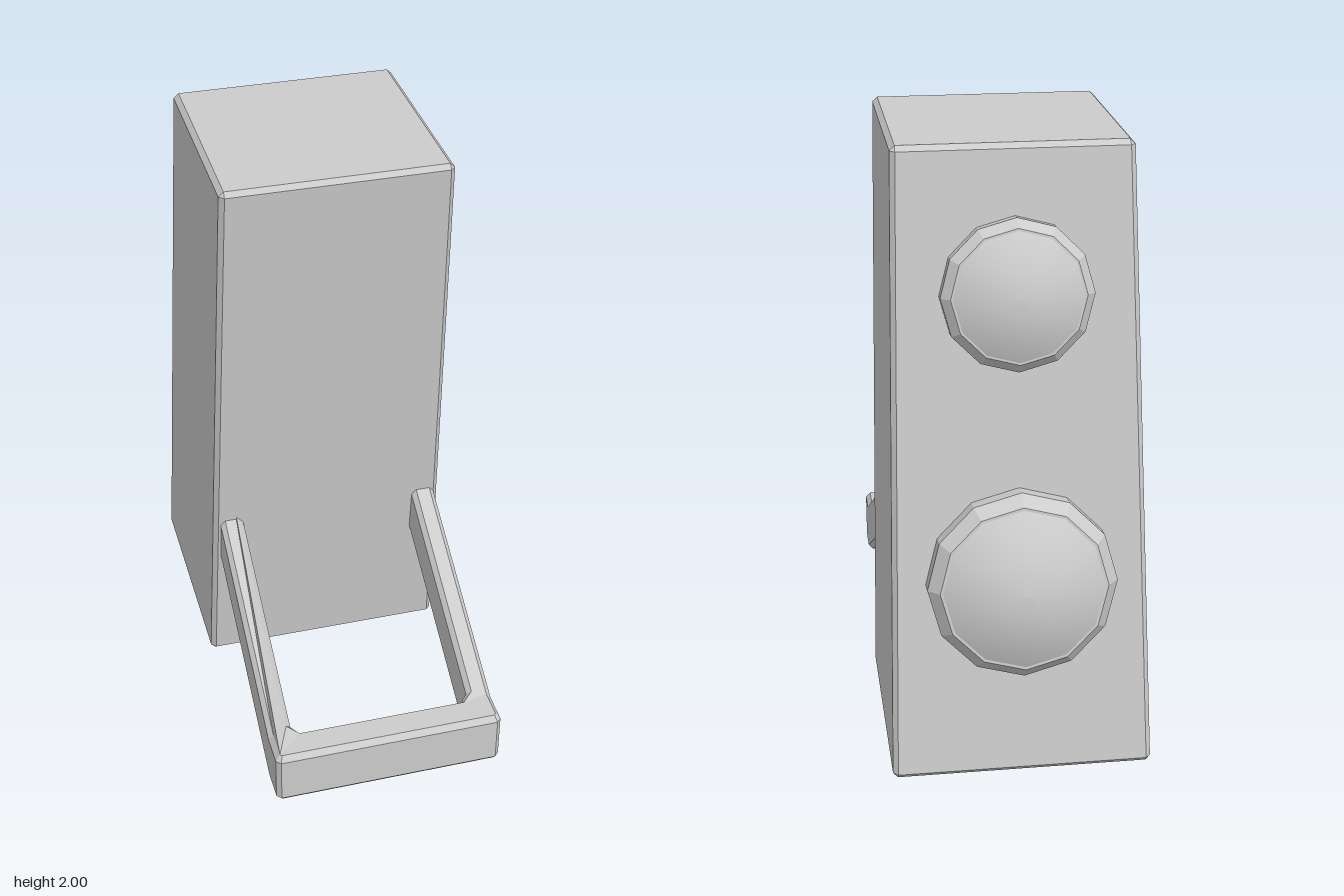
import * as THREE from 'three';
import { ConvexGeometry } from 'three/addons/geometries/ConvexGeometry.js';

const smooth = new THREE.MeshStandardMaterial({ color: 0xcccccc });
const faceted = new THREE.MeshStandardMaterial({ color: 0xcccccc, flatShading: true });

function addMesh(parent, name, geometry, material = faceted) {
  const mesh = new THREE.Mesh(geometry, material);
  mesh.name = name;
  parent.add(mesh);
  return mesh;
}

// Outline of the leaning block at a given height
const section = (y) => {
  const t = y / 2;
  return {
    w: THREE.MathUtils.lerp(0.42, 0.372, t),
    front: THREE.MathUtils.lerp(0.012, 0.215, t),
    back: THREE.MathUtils.lerp(-0.78, -0.507, t),
  };
};

// Leaning, tapering block with chamfered edges
function bodyGeometry() {
  const b = 0.016;
  const points = [];
  for (const [y, inset] of [[0, true], [b, false], [2 - b, false], [2, true]]) {
    const { w, front, back } = section(y);
    for (const sx of [-1, 1]) {
      for (const [z, sz] of [[front, 1], [back, -1]]) {
        if (inset) {
          points.push(new THREE.Vector3(sx * (w - b), y, z - sz * b));
        } else {
          points.push(new THREE.Vector3(sx * w, y, z - sz * b));
          points.push(new THREE.Vector3(sx * (w - b), y, z));
        }
      }
    }
  }
  return new ConvexGeometry(points);
}

// U-shaped frame, extruded flat, with its arms sheared up towards the block
function frameGeometry() {
  const half = [
    [0.385, -0.1], [0.385, 0.76], [0.385, 0.86], [0.37, 0.875],
  ];
  const inner = [[0.278, 0.76], [0.305, 0.735], [0.305, -0.1]];
  const mirror = (list) => list.map(([x, z]) => [-x, z]).reverse();
  const outline = [...half, ...mirror(half), ...mirror(inner), ...inner];
  const shape = new THREE.Shape(outline.map(([x, z]) => new THREE.Vector2(x, z)));
  const geo = new THREE.ExtrudeGeometry(shape, {
    depth: 0.16, bevelThickness: 0.02, bevelSize: 0.016, bevelOffset: -0.016, bevelSegments: 1,
  });
  geo.rotateX(Math.PI / 2).translate(0.004, 0.26, 0);
  const p = geo.attributes.position;
  for (let i = 0; i < p.count; i++) {
    p.setY(i, p.getY(i) + 0.54 * Math.max(0, 0.76 - p.getZ(i)));
  }
  geo.computeVertexNormals();
  return geo;
}

const lathe = (profile) =>
  new THREE.LatheGeometry(profile.map(([r, y]) => new THREE.Vector2(r, y)), 12);

// Round knob: faceted rim and a smooth low dome, seated on the sloping back
function knob(name, y, radius, height) {
  const group = new THREE.Group();
  group.name = name;
  addMesh(group, 'rim', lathe([[1, -0.1], [1, 0.32], [0.88, 0.56], [0.84, 0.56]]));
  addMesh(group, 'dome', lathe([[0.85, 0.56], [0.66, 0.74], [0.4, 0.91], [0.18, 0.98], [0, 1]]), smooth);
  group.scale.set(radius, height, radius);
  group.position.set(0, y, section(y).back);
  group.rotation.x = -Math.PI / 2 + Math.atan((0.78 - 0.507) / 2);
  return group;
}

export function createModel() {
  const model = new THREE.Group();
  model.name = 'leaningBlock';
  addMesh(model, 'body', bodyGeometry());
  addMesh(model, 'frontFrame', frameGeometry());
  model.add(knob('lowerKnob', 0.645, 0.3, 0.18));
  model.add(knob('upperKnob', 1.55, 0.237, 0.13));
  return model;
}
